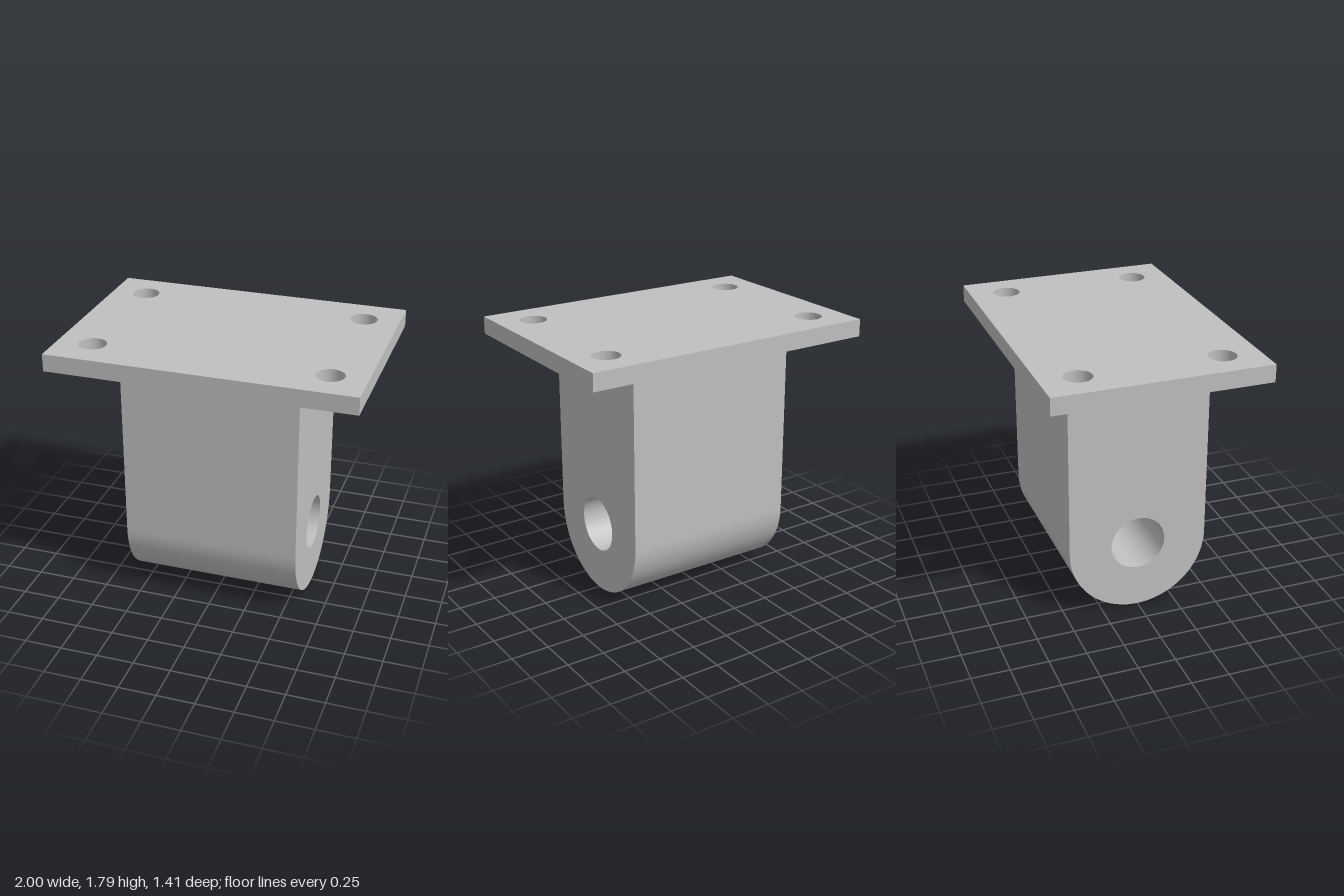
import * as THREE from 'three';
import { toCreasedNormals } from 'three/addons/utils/BufferGeometryUtils.js';

const PLATE_BOTTOM = 1.68, PLATE_THICKNESS = 0.115;
const LUG_WIDTH = 1.174, LUG_RADIUS = 0.47, BORE_RADIUS = 0.184;

function circleHole(x, y, radius) {
  return new THREE.Path().absarc(x, y, radius, 0, Math.PI * 2, true);
}

// Extrude with smooth curved walls and sharp edges
function extrude(shape, depth) {
  const geometry = new THREE.ExtrudeGeometry(shape, { depth, bevelEnabled: false, curveSegments: 40 });
  return toCreasedNormals(geometry, 0.5);
}

export function createModel() {
  const group = new THREE.Group();
  group.name = 'mountingBracket';
  const metal = new THREE.MeshStandardMaterial({ color: 0xc0c0c0 });
  metal.name = 'grey metal';

  // Mounting plate with four bolt holes
  const plateShape = new THREE.Shape();
  plateShape.moveTo(-1, -0.704).lineTo(1, -0.704).lineTo(1, 0.704).lineTo(-1, 0.704).closePath();
  for (const x of [-0.766, 0.766]) {
    for (const z of [-0.46, 0.46]) plateShape.holes.push(circleHole(x, z, 0.09));
  }
  const plate = new THREE.Mesh(extrude(plateShape, PLATE_THICKNESS).rotateX(-Math.PI / 2), metal);
  plate.name = 'mountingPlate';
  plate.position.y = PLATE_BOTTOM;
  group.add(plate);

  // Round-ended lug with a cross bore
  const lugShape = new THREE.Shape();
  lugShape.moveTo(LUG_RADIUS, PLATE_BOTTOM).lineTo(-LUG_RADIUS, PLATE_BOTTOM).lineTo(-LUG_RADIUS, LUG_RADIUS);
  lugShape.absarc(0, LUG_RADIUS, LUG_RADIUS, Math.PI, Math.PI * 2, false);
  lugShape.closePath();
  lugShape.holes.push(circleHole(0, LUG_RADIUS, BORE_RADIUS));
  const lug = new THREE.Mesh(extrude(lugShape, LUG_WIDTH).rotateY(Math.PI / 2), metal);
  lug.name = 'pivotLug';
  lug.position.x = -LUG_WIDTH / 2;
  group.add(lug);

  return group;
}
